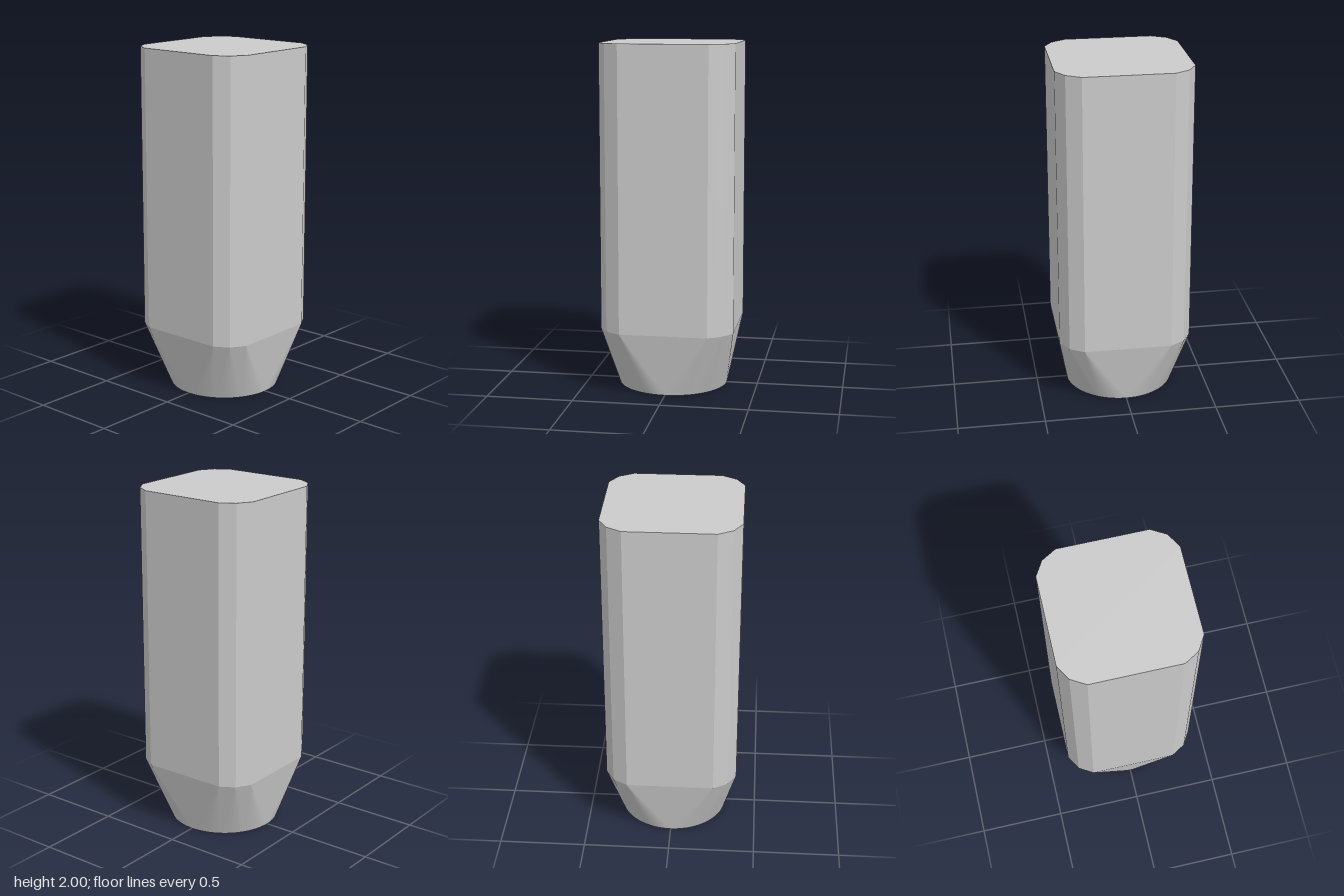
import * as THREE from 'three';

const TOP = 2, SHOULDER = 0.365, RADIUS = 0.318;
const SIDES = 12, STEPS = 10; // STEPS = foot circle segments per body corner

// Corner k of the rounded square: three points per quarter, turned by 90 degrees
function corner(k, y) {
  const quarter = [[0.384, 0.252], [0.335, 0.335], [0.252, 0.384]];
  let [x, z] = quarter[k % 3];
  for (let i = 0; i < Math.floor((k % SIDES) / 3); i++) [x, z] = [-z, x];
  return [x, y, z];
}

// Point on the round foot, one step being a fraction of a 30 degree sector
function rim(step) {
  const a = (step / (SIDES * STEPS)) * Math.PI * 2;
  return [RADIUS * Math.cos(a), 0, RADIUS * Math.sin(a)];
}

function part(name, triangles) {
  const geometry = new THREE.BufferGeometry();
  geometry.setAttribute('position', new THREE.Float32BufferAttribute(triangles.flat(), 3));
  geometry.computeVertexNormals();
  const mesh = new THREE.Mesh(geometry, new THREE.MeshStandardMaterial({ color: 0xcccccc, flatShading: true }));
  mesh.name = name;
  return mesh;
}

export function createModel() {
  const body = [], taper = [], foot = [];
  for (let k = 0; k < SIDES; k++) {
    const low = corner(k, SHOULDER), nextLow = corner(k + 1, SHOULDER);
    const high = corner(k, TOP), nextHigh = corner(k + 1, TOP);
    // Upright wall and its slice of the flat top
    body.push(low, high, nextHigh, low, nextHigh, nextLow);
    body.push([0, TOP, 0], nextHigh, high);
    // Flat triangle under each wall, reaching down to the foot
    taper.push(low, nextLow, rim((k + 1) * STEPS));
    // Fan from each corner to its arc of the foot
    for (let s = k * STEPS; s < (k + 1) * STEPS; s++) {
      taper.push(low, rim(s + 1), rim(s));
      foot.push([0, 0, 0], rim(s), rim(s + 1));
    }
  }
  const group = new THREE.Group();
  group.name = 'squarePost';
  group.add(part('body', body), part('squareToRoundTaper', taper), part('roundFoot', foot));
  return group;
}
